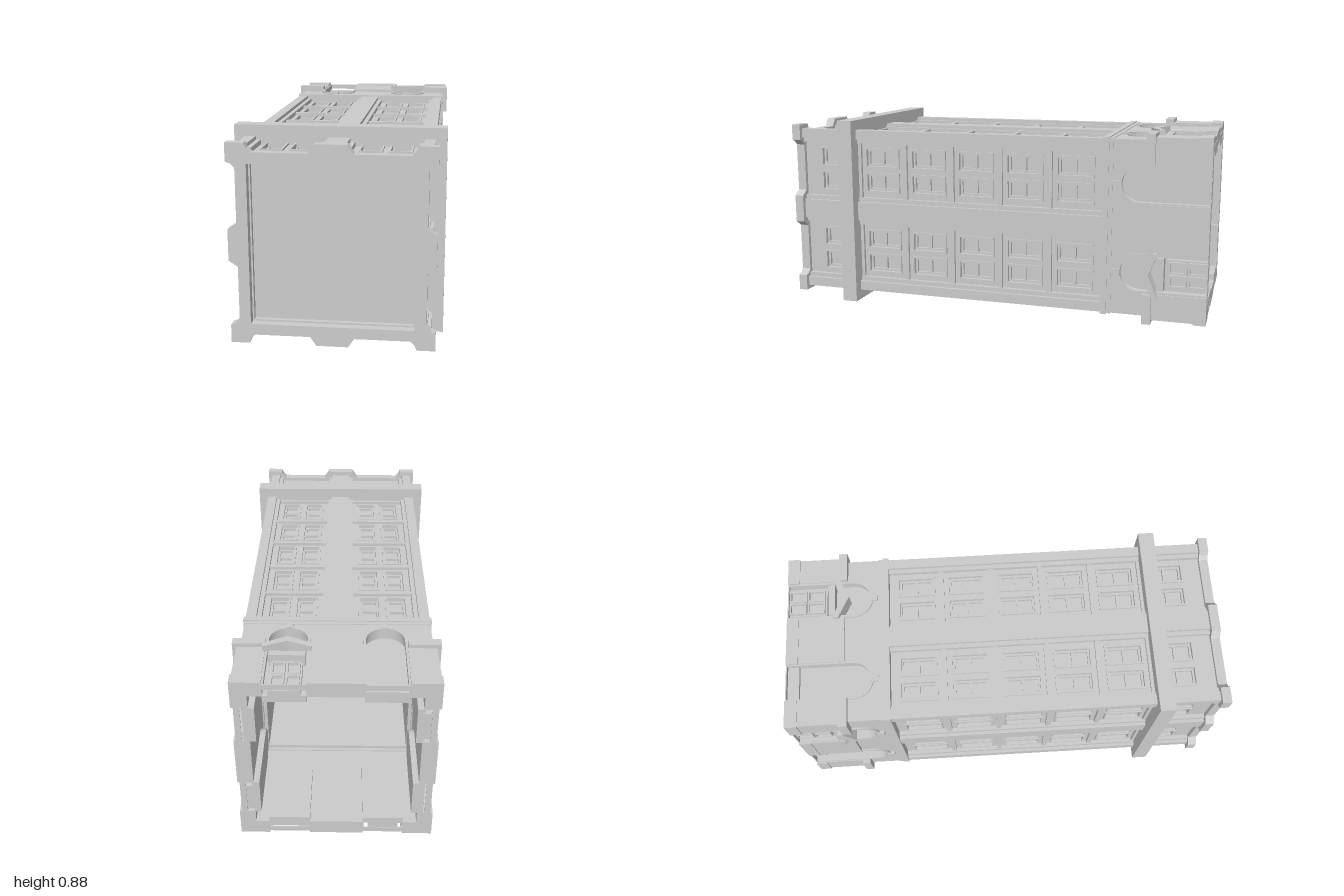
import * as THREE from 'three';

const CY = 0.445; // height of the tower's long axis
const mat = new THREE.MeshStandardMaterial({ color: 0xcccccc, flatShading: true, side: THREE.DoubleSide });

function add(parent, name, geo) {
  const m = new THREE.Mesh(geo, mat);
  m.name = name;
  parent.add(m);
  return m;
}

// Box given by its limits: u across the face, w outward, z along the tower
function block(parent, name, u0, u1, w0, w1, z0, z1) {
  const g = new THREE.BoxGeometry(u1 - u0, w1 - w0, z1 - z0);
  return add(parent, name, g.translate((u0 + u1) / 2, (w0 + w1) / 2, (z0 + z1) / 2));
}

// Flat plate drawn in (u, z), outer surface at w, thickness running inward
function plate(parent, name, shape, w, depth) {
  const g = new THREE.ExtrudeGeometry(shape, { depth, bevelEnabled: false, curveSegments: 10 });
  return add(parent, name, g.rotateX(Math.PI / 2).translate(0, w, 0));
}

function rect(x0, x1, y0, y1, Type = THREE.Shape) {
  const s = new Type();
  s.moveTo(x0, y0);
  s.lineTo(x1, y0);
  s.lineTo(x1, y1);
  s.lineTo(x0, y1);
  s.closePath();
  return s;
}

function frame(u, z, hu, hz, t) {
  const s = rect(u - hu, u + hu, z - hz, z + hz);
  s.holes.push(rect(u - hu + t, u + hu - t, z - hz + t, z + hz - t, THREE.Path));
  return s;
}

// Square ring around the tower
function ring(parent, name, half, inner, z0, z1) {
  const s = frame(0, 0, half, half, half - inner);
  const g = new THREE.ExtrudeGeometry(s, { depth: z1 - z0, bevelEnabled: false });
  return add(parent, name, g.translate(0, 0, z0));
}

const BAYS = [-0.2, 0.2];
const FLOORS = [0, 1, 2, 3, 4, 5].map(i => -0.4 + i * 0.237);
const SPRING = -0.695;

function archShape(u, r) {
  const s = new THREE.Shape();
  s.moveTo(u - r, -1);
  s.lineTo(u + r, -1);
  s.lineTo(u + r, SPRING);
  s.absarc(u, SPRING, r, 0, Math.PI, false);
  s.closePath();
  return s;
}

function upperStorey(f) {
  // Wall pierced by paired windows
  const wall = rect(-0.36, 0.36, -0.54, 0.965);
  const windows = [];
  for (const b of BAYS) for (const d of [-0.06, 0.06]) for (const z of FLOORS) {
    windows.push([b + d, z]);
    wall.holes.push(rect(b + d - 0.04, b + d + 0.04, z - 0.08, z + 0.08, THREE.Path));
  }
  plate(f, 'wall', wall, 0.36, 0.025);
  block(f, 'windowPanes', -0.33, 0.33, 0.325, 0.337, -0.54, 0.965);
  for (const [u, z] of windows) {
    plate(f, 'windowSurround', frame(u, z, 0.048, 0.088, 0.008), 0.368, 0.012);
    plate(f, 'windowSash', frame(u, z, 0.04, 0.08, 0.01), 0.35, 0.016);
    block(f, 'windowBar', u - 0.031, u + 0.031, 0.335, 0.35, z - 0.005, z + 0.005);
  }
  // Spandrel ridges between the floors
  for (const b of BAYS) for (let i = 0; i < 5; i++) {
    const z = FLOORS[i] + 0.1185;
    block(f, 'spandrel', b - 0.135, b + 0.135, 0.355, 0.374, z - 0.012, z + 0.012);
  }
  // Stepped pilasters
  block(f, 'middlePilaster', -0.046, 0.046, 0.35, 0.395, -0.53, 0.96);
  block(f, 'middlePilasterStep', -0.066, 0.066, 0.35, 0.38, -0.53, 0.96);
  block(f, 'cornerPilaster', 0.35, 0.395, 0.35, 0.395, -0.53, 0.96);
  for (const s of [-1, 1]) {
    const a = s * 0.33, b = s * 0.365;
    block(f, 'cornerPilasterStep', Math.min(a, b), Math.max(a, b), 0.345, 0.38, -0.53, 0.96);
  }
}

function groundStorey(f) {
  // Wall outline with two arched openings cut from the foot
  const s = new THREE.Shape();
  s.moveTo(-0.395, -1);
  for (const b of BAYS) {
    s.lineTo(b - 0.085, -1);
    s.lineTo(b - 0.085, SPRING);
    s.absarc(b, SPRING, 0.085, Math.PI, 0, true);
    s.lineTo(b + 0.085, -1);
  }
  s.lineTo(0.395, -1);
  s.lineTo(0.395, -0.55);
  s.lineTo(-0.395, -0.55);
  s.closePath();
  plate(f, 'groundWall', s, 0.395, 0.05);

  for (const b of BAYS) {
    plate(f, 'archPanel', archShape(b, 0.087), 0.35, 0.03);
    const trim = archShape(b, 0.092);
    trim.holes.push(new THREE.Path(archShape(b, 0.08).getPoints(10).map(p => new THREE.Vector2(p.x, Math.max(p.y, -0.995)))));
    plate(f, 'archTrim', trim, 0.403, 0.025);
    block(f, 'keystone', b - 0.014, b + 0.014, 0.38, 0.408, -0.615, -0.58);
  }
  block(f, 'archPlinth', -0.285, -0.115, 0.345, 0.37, -1, -0.945);

  // Piers beside the arches
  block(f, 'middlePier', -0.112, 0.112, 0.36, 0.408, -0.95, -0.735);
  block(f, 'middlePierFoot', -0.115, 0.115, 0.36, 0.412, -1, -0.945);
  for (const m of [-1, 1]) {
    const lim = (a, b) => [Math.min(m * a, m * b), Math.max(m * a, m * b)];
    block(f, 'cornerPier', ...lim(0.29, 0.408), 0.36, 0.408, -0.95, -0.73);
    block(f, 'cornerPierFoot', ...lim(0.288, 0.413), 0.36, 0.413, -1, -0.945);
    block(f, 'pierCap', ...lim(0.29, 0.425), 0.375, 0.425, -0.76, -0.72);
  }

  // Door with four panes
  block(f, 'door', 0.135, 0.265, 0.34, 0.375, -1, -0.82);
  for (const u of [0.17, 0.23]) for (const z of [-0.955, -0.87])
    plate(f, 'doorPane', frame(u, z, 0.028, 0.04, 0.008), 0.39, 0.016);

  // Gabled canopy over the door
  const c = new THREE.Shape();
  [[0.1, -0.785], [0.2, -0.745], [0.3, -0.785], [0.3, -0.76], [0.2, -0.71], [0.1, -0.76]]
    .forEach(([x, y], i) => (i ? c.lineTo(x, y) : c.moveTo(x, y)));
  c.closePath();
  plate(f, 'doorCanopy', c, 0.43, 0.08);
  block(f, 'canopyLintel', 0.125, 0.275, 0.35, 0.405, -0.81, -0.78);
}

function roof(t) {
  // Cornice with raised blocks at the corners and mid sides
  const side = [[-0.415, 0.415], [-0.34, 0.415], [-0.332, 0.395], [-0.315, 0.378], [-0.09, 0.378],
    [-0.078, 0.395], [-0.065, 0.415], [0.065, 0.415], [0.078, 0.395], [0.09, 0.378],
    [0.315, 0.378], [0.332, 0.395], [0.34, 0.415]];
  const s = new THREE.Shape();
  for (let k = 0; k < 4; k++) {
    const a = -k * Math.PI / 2, co = Math.cos(a), si = Math.sin(a);
    side.forEach(([x, y], i) => {
      const p = [x * co - y * si, x * si + y * co];
      if (k + i) s.lineTo(...p); else s.moveTo(...p);
    });
  }
  s.closePath();
  s.holes.push(rect(-0.332, 0.332, -0.332, 0.332, THREE.Path));
  const g = new THREE.ExtrudeGeometry(s, { depth: 0.042, bevelEnabled: false });
  add(t, 'cornice', g.translate(0, 0, 0.958));
  block(t, 'roofDeck', -0.34, 0.34, -0.34, 0.34, 0.93, 0.945);
}

export function createModel() {
  const model = new THREE.Group();
  model.name = 'towerOnItsSide';
  const tower = new THREE.Group();
  tower.name = 'tower';
  tower.position.y = CY;
  model.add(tower);
  for (let k = 0; k < 4; k++) {
    const face = new THREE.Group();
    face.name = 'facade';
    face.rotation.z = -k * Math.PI / 2;
    upperStorey(face);
    groundStorey(face);
    tower.add(face);
  }
  ring(tower, 'upperBand', 0.442, 0.34, 0.67, 0.742);
  ring(tower, 'lowerLedge', 0.402, 0.34, -0.556, -0.528);
  ring(tower, 'ledgeMoulding', 0.398, 0.345, -0.575, -0.556);
  roof(tower);
  return model;
}
